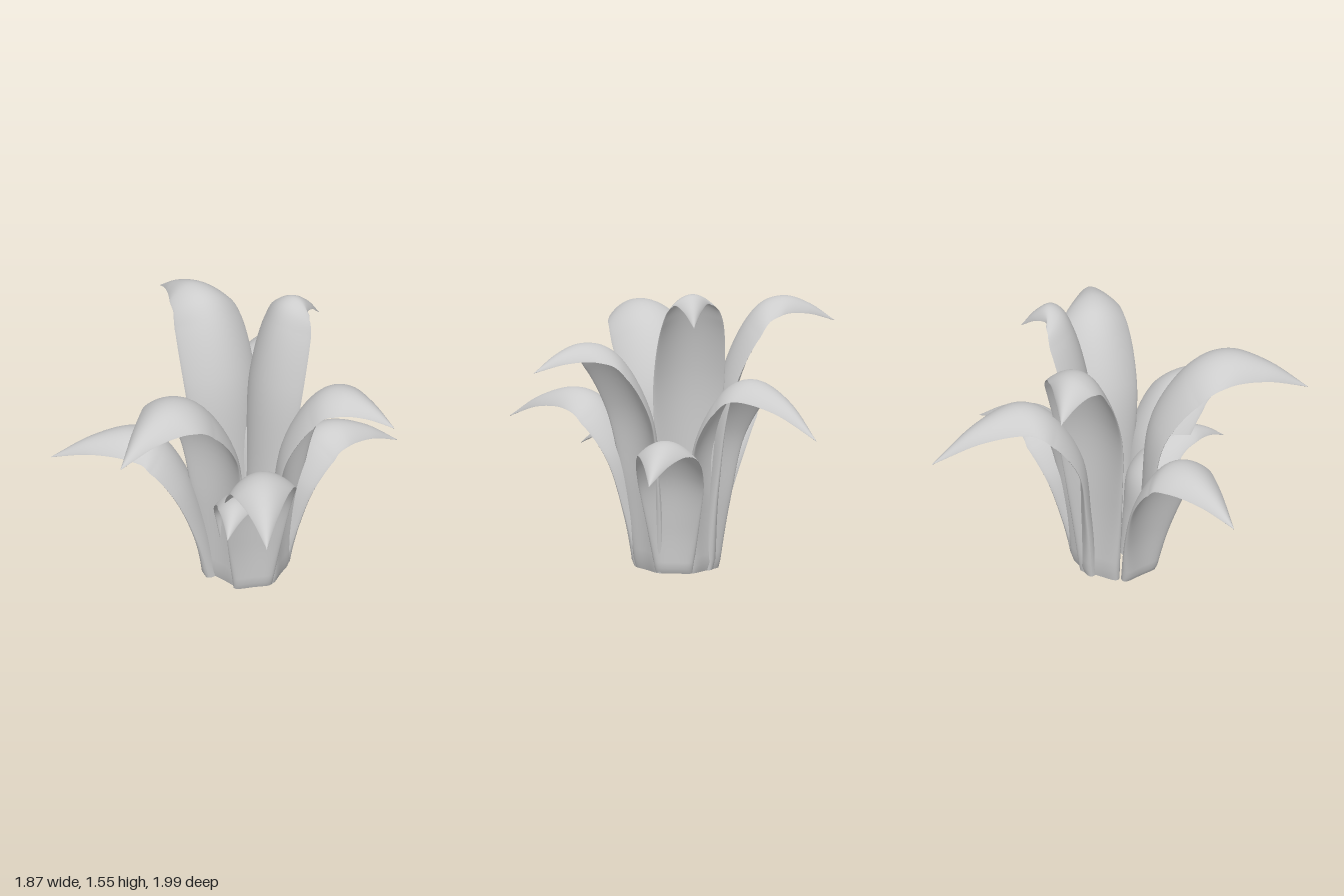
import * as THREE from 'three';

const ROWS = 56, COLS = 20;
const CENTRE_X = 0.1, CENTRE_Z = 0.04;

// azimuth and tip azimuth in degrees (from +x towards +z), base radius, lean of
// the lower half, arch peak [radius, height], tip [radius, height], half width
const LEAVES = [
  { name: 'backLeaf', az: -84, tipAz: -81, r0: 0.17, lean: 0.15, peak: [0.57, 1.09], tip: [1.05, 0.84], w: 0.2 },
  { name: 'backRightLeaf', az: -121, tipAz: -129, r0: 0.16, lean: 0.18, peak: [0.57, 1.47], tip: [0.825, 1.33], w: 0.21 },
  { name: 'tallInnerLeaf', az: -51, tipAz: -46, r0: 0.12, lean: 0.15, peak: [0.36, 1.55], tip: [0.51, 1.4], w: 0.2 },
  { name: 'lowLeftLeaf', az: -30, tipAz: -26, r0: 0.18, lean: 0.23, peak: [0.54, 0.78], tip: [0.86, 0.61], w: 0.18 },
  { name: 'leftLeaf', az: 17, tipAz: 22, r0: 0.175, lean: 0.17, peak: [0.61, 1.28], tip: [0.9, 1.15], w: 0.205 },
  { name: 'frontLeaf', az: 72, tipAz: 77, r0: 0.185, lean: 0.22, peak: [0.61, 0.92], tip: [0.975, 0.73], w: 0.19 },
  { name: 'smallFrontLeaf', az: 89, tipAz: 92, r0: 0.1, lean: 0.1, peak: [0.46, 0.69], tip: [0.66, 0.58], w: 0.15 },
  { name: 'frontRightLeaf', az: 127, tipAz: 124, r0: 0.15, lean: 0.12, peak: [0.63, 1.32], tip: [1.03, 1.12], w: 0.225 },
  { name: 'rightLeaf', az: 171, tipAz: 173, r0: 0.185, lean: 0.3, peak: [0.63, 0.87], tip: [1.035, 0.7], w: 0.2 },
];

// Arching spine; the z of each point carries the half width there.
// Leaves with a short overhang start to taper sooner.
function spine({ r0, lean, peak: [rp, yp], tip: [rt, yt], w }) {
  const k = rp - r0;
  const q = Math.min(1, (rt - rp) / 0.38);
  const p = (r, y, s) => new THREE.Vector3(r, y, s * w);
  return new THREE.CatmullRomCurve3([
    p(r0, 0, 0.55),
    p(r0 + 0.37 * lean * k, 0.34 * yp, 0.78),
    p(r0 + lean * k, 0.68 * yp, 0.98),
    p(r0 + (0.39 + 0.5 * lean) * k, 0.9 * yp, 0.78 + 0.22 * q),
    p(r0 + 0.72 * k, 0.98 * yp, 0.5 + 0.44 * q),
    p(rp, yp, 0.34 + 0.48 * q),
    p((rp + rt) / 2, yp - 0.32 * (yp - yt), 0.18 + 0.26 * q),
    p(rt, yt, 0),
  ], false, 'centripetal');
}

// Sweep a section along the spine: a thick slab at the foot, a thin bowed blade above
function leafGeometry(leaf) {
  const curve = spine(leaf);
  const az = THREE.MathUtils.degToRad(leaf.az);
  const sway = leaf.tip[0] * Math.tan(THREE.MathUtils.degToRad(leaf.tipAz - leaf.az));
  const dx = Math.cos(az), dz = Math.sin(az);
  const pos = [], index = [];

  const addVertex = (i, j, side) => {
    const u = i / ROWS, s = Math.sin((j / COLS - 0.5) * Math.PI);
    const c = curve.getPoint(u), t = curve.getTangent(u);
    const len = Math.hypot(t.x, t.y);
    const nr = -t.y / len, ny = t.x / len;
    const half = Math.max(c.z, 0);
    const bow = half * THREE.MathUtils.lerp(0.12, 0.54, Math.min(1, u / 0.45)) * s * s;
    let thick = 0.045 * Math.exp(-3.2 * u) * Math.sqrt(Math.max(0, 1 - s ** 4));
    if (i === 0 && side < 0) thick *= 0.7; // tucked-in foot
    const off = side * thick - bow;
    const r = c.x + nr * off;
    const y = i === 0 ? 0 : Math.max(0, c.y + ny * off);
    const lat = s * half + sway * u ** 3;
    pos.push(CENTRE_X + dx * r - dz * lat, y, CENTRE_Z + dz * r + dx * lat);
  };
  const quad = (a, b, c, d, flip) =>
    flip ? index.push(a, c, b, b, c, d) : index.push(a, b, c, b, d, c);

  // upper and lower faces
  for (const side of [1, -1]) {
    const start = pos.length / 3;
    for (let i = 0; i <= ROWS; i++) for (let j = 0; j <= COLS; j++) addVertex(i, j, side);
    for (let i = 0; i < ROWS; i++) for (let j = 0; j < COLS; j++) {
      const a = start + i * (COLS + 1) + j, c = a + COLS + 1;
      quad(a, a + 1, c, c + 1, side < 0);
    }
  }
  // cut foot
  const foot = pos.length / 3;
  for (const side of [-1, 1]) for (let j = 0; j <= COLS; j++) addVertex(0, j, side);
  for (let j = 0; j < COLS; j++) {
    const a = foot + j, c = a + COLS + 1;
    quad(a, a + 1, c, c + 1, false);
  }

  const geo = new THREE.BufferGeometry();
  geo.setAttribute('position', new THREE.Float32BufferAttribute(pos, 3));
  geo.setIndex(index);
  geo.computeVertexNormals();
  return geo;
}

export function createModel() {
  const plant = new THREE.Group();
  plant.name = 'plant';
  const leafGrey = new THREE.MeshStandardMaterial({ color: 0xcccccc });
  leafGrey.name = 'leaf grey';
  for (const leaf of LEAVES) {
    const mesh = new THREE.Mesh(leafGeometry(leaf), leafGrey);
    mesh.name = leaf.name;
    plant.add(mesh);
  }
  return plant;
}
